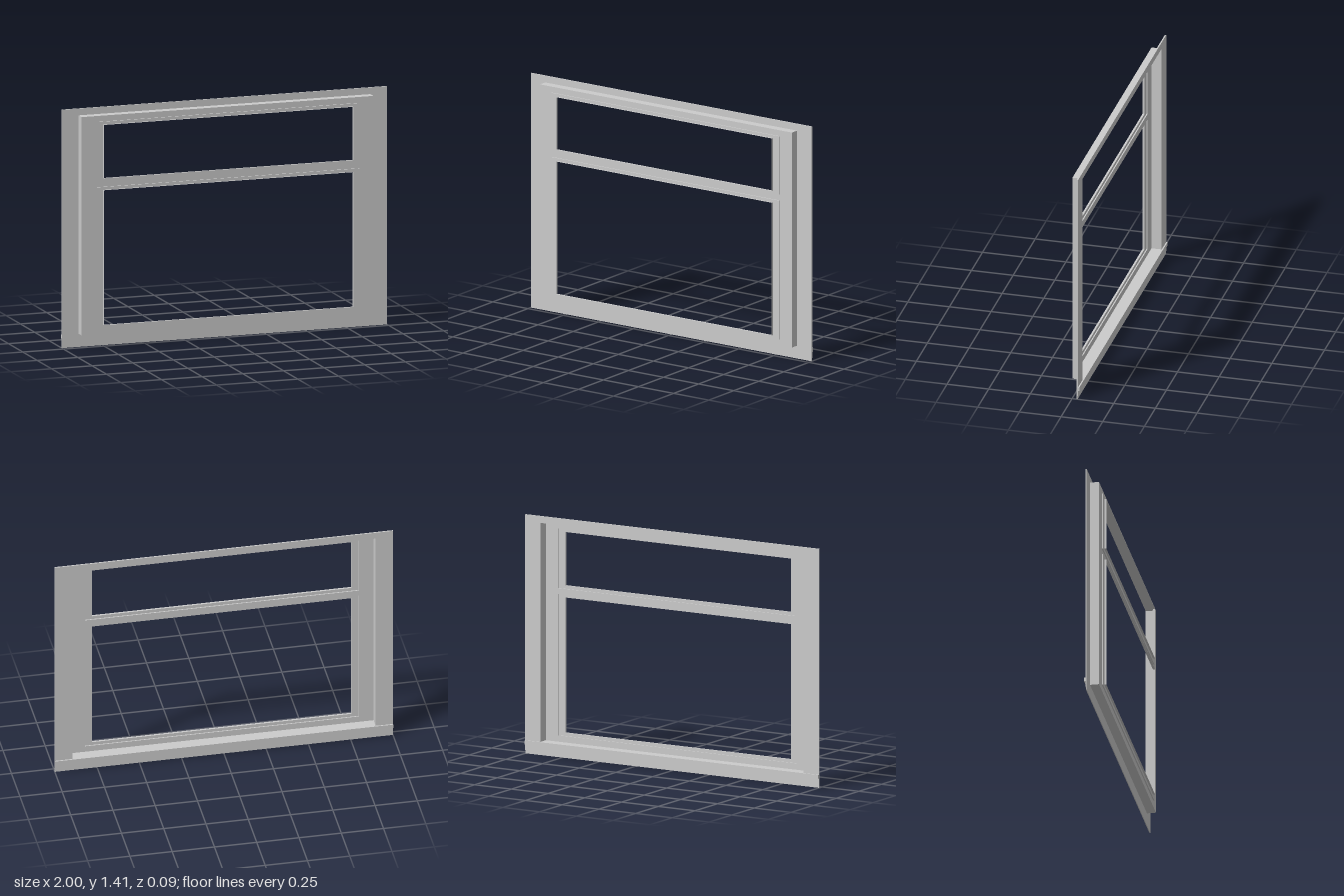
import * as THREE from 'three';

const material = new THREE.MeshStandardMaterial({ color: 0xcccccc, side: THREE.DoubleSide });

function rectPath(P, { x, y0, y1 }) {
  const p = new P();
  p.moveTo(-x, y0).lineTo(x, y0).lineTo(x, y1).lineTo(-x, y1).closePath();
  return p;
}

// Thin rectangular sleeve running through a list of rectangles { x, y0, y1, z }
function sleeve(sections) {
  const pos = [];
  const corners = ({ x, y0, y1, z }) => [[-x, y0, z], [x, y0, z], [x, y1, z], [-x, y1, z]];
  for (let s = 0; s < sections.length - 1; s++) {
    const a = corners(sections[s]), b = corners(sections[s + 1]);
    for (let i = 0; i < 4; i++) {
      const j = (i + 1) % 4;
      pos.push(...a[i], ...a[j], ...b[j], ...a[i], ...b[j], ...b[i]);
    }
  }
  const g = new THREE.BufferGeometry();
  g.setAttribute('position', new THREE.Float32BufferAttribute(pos, 3));
  g.computeVertexNormals();
  return g;
}

export function createModel() {
  const group = new THREE.Group();
  const add = (name, geometry) => {
    const mesh = new THREE.Mesh(geometry, material);
    mesh.name = name;
    group.add(mesh);
    return mesh;
  };
  const box = (name, x0, x1, y0, y1, z0, z1) =>
    add(name, new THREE.BoxGeometry(x1 - x0, y1 - y0, z1 - z0))
      .position.set((x0 + x1) / 2, (y0 + y1) / 2, (z0 + z1) / 2);

  const faceZ = 0.025, stepZ = 0.032, frontZ = 0.044;
  const casingFront = -0.028, casingBack = -0.036;
  const recess = { x: 0.897, y0: 0.078, y1: 1.372 };

  // Flat casing around the recess
  box('casingLeft', recess.x, 1, 0.078, 1.412, casingBack, casingFront);
  box('casingRight', -1, -recess.x, 0.078, 1.412, casingBack, casingFront);
  box('casingTop', -recess.x, recess.x, recess.y1, 1.412, casingBack, casingFront);

  // Sill and two-step apron
  box('sill', -1, 1, 0.055, 0.078, -0.044, casingFront);
  box('apronUpper', -1, 1, 0.02, 0.055, casingBack, casingFront);
  box('apronLower', -1, 1, 0, 0.02, -0.033, casingFront);

  // Thin walls of the recess
  add('recessWalls', sleeve([{ ...recess, z: casingFront }, { ...recess, z: faceZ }]));

  // Window face with two lights, each with a stepped sash rim
  const lights = [
    { name: 'upperSash', outer: { x: 0.81, y0: 0.985, y1: 1.337 }, inner: { x: 0.767, y0: 1.004, y1: 1.32 } },
    { name: 'lowerSash', outer: { x: 0.81, y0: 0.115, y1: 0.95 }, inner: { x: 0.767, y0: 0.134, y1: 0.933 } },
  ];
  const face = rectPath(THREE.Shape, recess);
  for (const { name, outer, inner } of lights) {
    face.holes.push(rectPath(THREE.Path, outer));
    add(name, sleeve([
      { ...outer, z: faceZ }, { ...outer, z: stepZ },
      { ...inner, z: stepZ }, { ...inner, z: frontZ },
    ]));
  }
  add('windowFace', new THREE.ShapeGeometry(face)).position.z = faceZ;

  return group;
}
